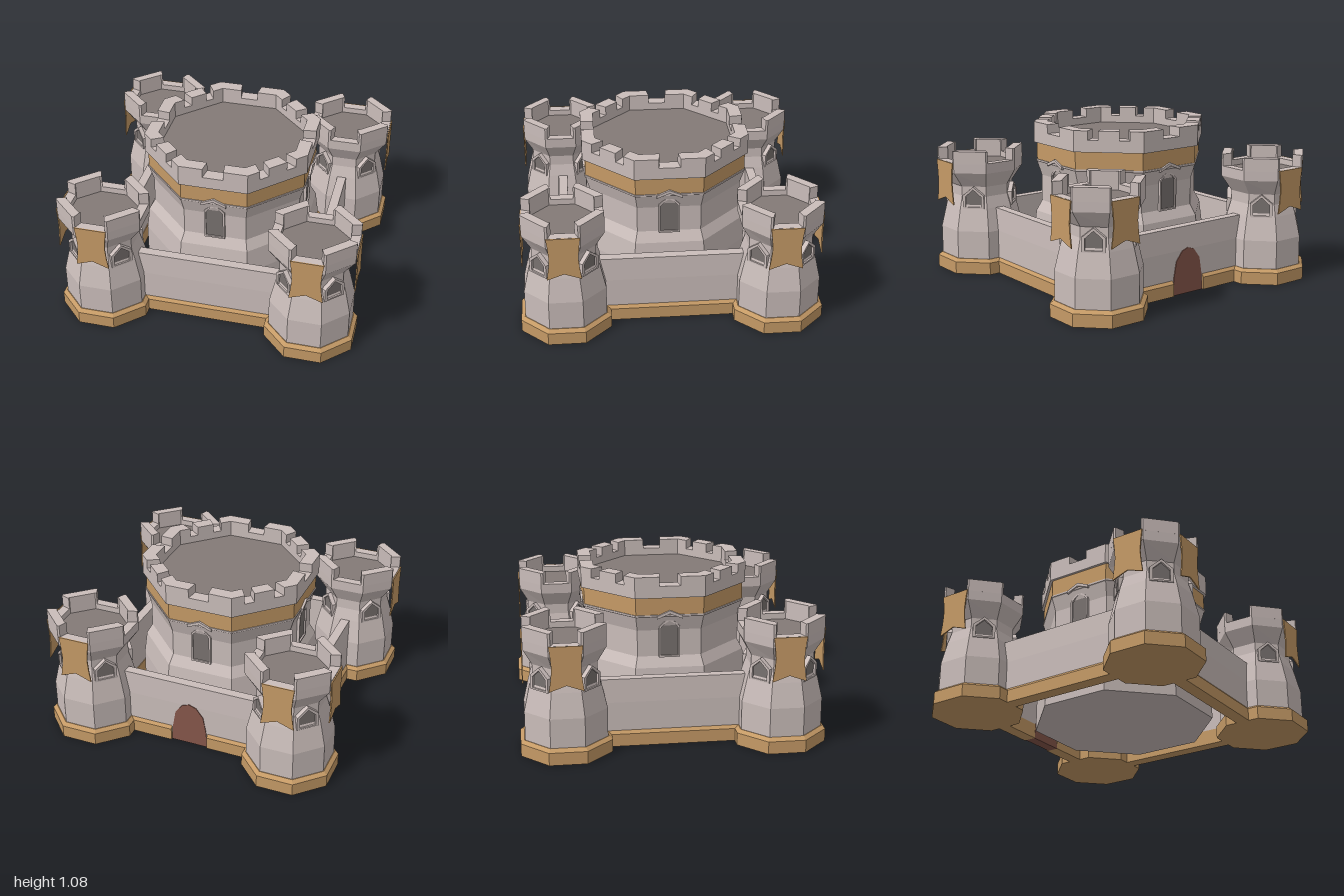
import * as THREE from 'three';

const mat = (color, side = THREE.FrontSide) =>
  new THREE.MeshStandardMaterial({ color, side, flatShading: true });
const stone = mat(0xcabdba), floorGrey = mat(0x837a77), dark = mat(0x78716f);
const tan = mat(0xc59a66), cloth = mat(0xc59a66, THREE.DoubleSide), wood = mat(0x85564a);
const HALF = Math.tan(Math.PI / 8);

function add(parent, name, geometry, material) {
  const mesh = new THREE.Mesh(geometry, material);
  mesh.name = name;
  parent.add(mesh);
  return mesh;
}

// Eight-sided solid from [apothem, height] pairs, flat sides on the axes
function octagon(profile) {
  const k = 1 / Math.cos(Math.PI / 8);
  return new THREE.LatheGeometry(profile.map(([a, y]) => new THREE.Vector2(a * k, y)), 8, Math.PI / 8);
}

function polygon(points) {
  return new THREE.Shape(points.map(([x, y]) => new THREE.Vector2(x, y)));
}

const extrude = (shape, depth) => new THREE.ExtrudeGeometry(shape, { depth, bevelEnabled: false });

// Merlon following the octagon's rim; stops are [face, offset along face]
function merlon(stops, outer, inner, y0, y1) {
  const rim = stops.map(([face, t]) => {
    const a = face * Math.PI / 4;
    return [outer * Math.cos(a) - t * Math.sin(a), outer * Math.sin(a) + t * Math.cos(a)];
  });
  const back = rim.map(([x, y]) => [x * inner / outer, y * inner / outer]).reverse();
  return extrude(polygon([...rim, ...back]), y1 - y0).rotateX(-Math.PI / 2).translate(0, y0, 0);
}

// The corner towers' heads are slightly shallower than wide
const HEAD_DEPTH = 0.937;
function narrowHead(geometry) {
  const p = geometry.attributes.position;
  for (let i = 0; i < p.count; i++) if (p.getY(i) > 0.65) p.setZ(i, p.getZ(i) * HEAD_DEPTH);
  return geometry;
}

// Pointed window outline
const arch = (w, y0, y1, y2) => [[-w, y0], [w, y0], [w, y1], [w * 0.6, y1 + (y2 - y1) * 0.55], [0, y2],
  [-w * 0.6, y1 + (y2 - y1) * 0.55], [-w, y1]];
const gable = (w, y0, y1, y2) => [[-w, y0], [w, y0], [w, y1], [0, y2], [-w, y1]];

// Framed window facing +z, frame from z0 to z1
function windowUnit(outer, inner, z0, z1) {
  const g = new THREE.Group();
  g.name = 'window';
  const frame = polygon(outer);
  frame.holes.push(polygon(inner));
  add(g, 'windowFrame', extrude(frame, z1 - z0).translate(0, 0, z0), stone);
  add(g, 'windowPane', extrude(polygon(inner), (z1 - z0) * 0.75).translate(0, 0, z0), dark);
  return g;
}

// Cloth hanging from the parapet, facing +z, with a notched hem
function banner(distance) {
  const shape = polygon([[-0.11, 0.49], [0, 0.53], [0.11, 0.49], [0.098, 0.57], [0.092, 0.64],
    [0.098, 0.72], [0.107, 0.785], [-0.107, 0.785], [-0.098, 0.72], [-0.092, 0.64], [-0.098, 0.57]]);
  const m = new THREE.Mesh(extrude(shape, 0.008).translate(0, 0, distance), cloth);
  m.name = 'banner';
  return m;
}

function cornerTower(sx, sz) {
  const g = new THREE.Group();
  g.name = 'cornerTower';
  add(g, 'towerBase', octagon([[0, 0], [0.295, 0], [0.295, 0.085], [0.27, 0.105], [0, 0.105]]), tan);
  add(g, 'towerBody', narrowHead(octagon([[0.266, 0.1], [0.266, 0.3], [0.23, 0.46], [0.207, 0.54],
    [0.207, 0.61], [0.28, 0.715], [0.282, 0.785], [0.22, 0.785], [0.22, 0.73]])), stone);
  add(g, 'towerFloor', narrowHead(octagon([[0.225, 0.745], [0, 0.745]])), floorGrey);
  const h = 0.282 * HALF, t = 0.101;
  for (let f = 1; f < 8; f += 2) {
    const stops = [[f - 1, t], [f, -h], [f, h], [f + 1, -t]];
    add(g, 'towerMerlon', narrowHead(merlon(stops, 0.282, 0.22, 0.78, 0.868)), stone);
    const w = windowUnit(gable(0.075, 0.457, 0.55, 0.612), gable(0.055, 0.468, 0.542, 0.592), 0.18, 0.238);
    w.rotation.y = f * Math.PI / 4;
    g.add(w);
  }
  // Banners on the two outward faces
  const side = banner(0.284), front = banner(0.264);
  side.rotation.y = sx * Math.PI / 2;
  front.rotation.y = sz > 0 ? 0 : Math.PI;
  g.add(side, front);
  g.position.set(sx * 0.705, 0, sz * 0.702);
  return g;
}

function keep() {
  const g = new THREE.Group();
  g.name = 'keep';
  add(g, 'keepBody', octagon([[0, 0], [0.57, 0], [0.57, 0.3], [0.55, 0.46], [0.512, 0.53], [0.512, 0.71],
    [0.54, 0.805], [0.546, 0.81], [0.546, 0.822], [0.5, 0.822]]), stone);
  add(g, 'keepBand', octagon([[0.5, 0.82], [0.54, 0.82], [0.54, 0.94], [0.5, 0.94]]), tan);
  add(g, 'keepParapet', octagon([[0.5, 0.94], [0.558, 0.94], [0.558, 1.02], [0.47, 1.02], [0.47, 0.95]]), stone);
  add(g, 'keepFloor', octagon([[0.48, 0.97], [0, 0.97]]), floorGrey);
  const h = 0.558 * HALF, rim = [0.558, 0.47, 1.015, 1.082];
  for (let f = 0; f < 8; f += 2) {
    // Corner merlons either side of each straight face, one in the middle of each diagonal
    add(g, 'cornerMerlon', merlon([[f, 0.07], [f, h], [f + 1, -0.14]], ...rim), stone);
    add(g, 'cornerMerlon', merlon([[f - 1, 0.14], [f, -h], [f, -0.07]], ...rim), stone);
    add(g, 'middleMerlon', merlon([[f + 1, -0.07], [f + 1, 0.07]], ...rim), stone);
    const w = windowUnit(arch(0.07, 0.525, 0.735, 0.79), arch(0.058, 0.537, 0.728, 0.777), 0.49, 0.532);
    // Gabled hood over the window
    const hood = polygon([[-0.085, 0.795], [0, 0.83], [0.085, 0.795], [0.085, 0.815], [0, 0.852], [-0.085, 0.815]]);
    add(w, 'windowHood', extrude(hood, 0.055).translate(0, 0, 0.5), stone);
    w.rotation.y = f * Math.PI / 4;
    g.add(w);
  }
  return g;
}

// Curtain wall on the +z side; its plinth is split where there is a door
function curtainWall(hasDoor) {
  const g = new THREE.Group();
  g.name = 'curtainWall';
  const along = (section, x0, x1) => extrude(polygon(section), x1 - x0)
    .rotateY(-Math.PI / 2).translate(x1, 0, 0);
  add(g, 'wall', along([[0.665, 0.02], [0.735, 0.02], [0.735, 0.3], [0.728, 0.458], [0.665, 0.458]],
    -0.5, 0.5), stone);
  const plinth = [[0.66, 0], [0.753, 0], [0.753, 0.085], [0.735, 0.105], [0.66, 0.105]];
  for (const [x0, x1] of hasDoor ? [[-0.5, -0.13], [0.13, 0.5]] : [[-0.5, 0.5]])
    add(g, 'wallPlinth', along(plinth, x0, x1), tan);
  if (hasDoor) {
    const door = polygon([[-0.13, 0], [0.13, 0], [0.12, 0.12], [0.1, 0.23], [0.05, 0.295], [0, 0.312],
      [-0.05, 0.295], [-0.1, 0.23], [-0.12, 0.12]]);
    add(g, 'door', extrude(door, 0.078).translate(0, 0, 0.662), wood);
  }
  return g;
}

export function createModel() {
  const model = new THREE.Group();
  model.name = 'castle';
  model.add(keep());
  for (const sx of [-1, 1]) for (const sz of [-1, 1]) model.add(cornerTower(sx, sz));
  for (let i = 0; i < 4; i++) {
    const wall = curtainWall(i === 2);
    wall.rotation.y = i * Math.PI / 2;
    model.add(wall);
  }
  return model;
}
